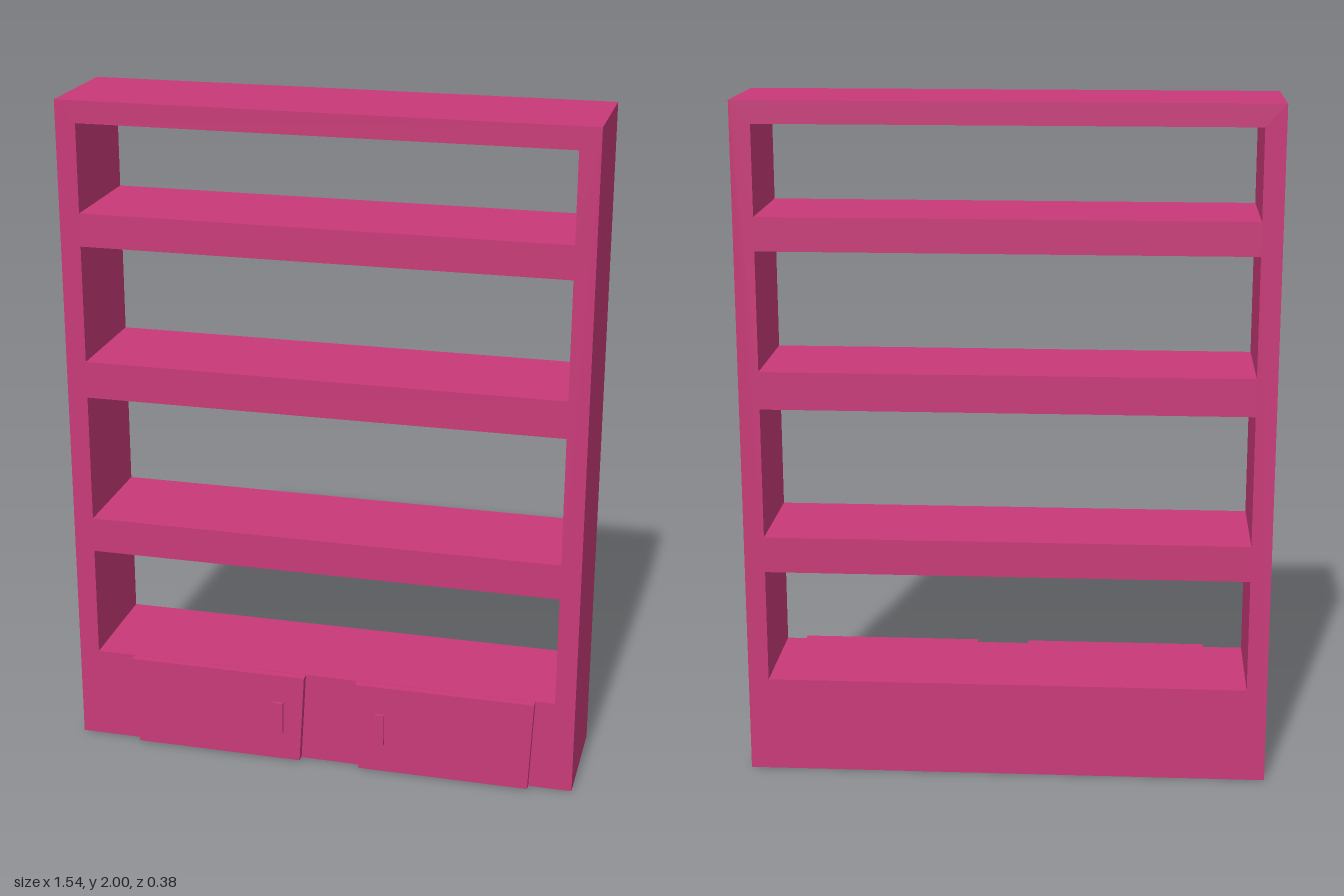
import * as THREE from 'three';

const material = new THREE.MeshStandardMaterial({ color: 0xc93a78 });

// Closed outline from a list of [x, y] corners
const outline = (points) => points.map(([x, y]) => new THREE.Vector2(x, y));
const rect = (x0, x1, y0, y1) => outline([[x0, y0], [x1, y0], [x1, y1], [x0, y1]]);

// Flat panel extruded from z0 to z1, with optional holes
function panel(name, points, z0, z1, holes = []) {
  const shape = new THREE.Shape(points);
  holes.forEach((h) => shape.holes.push(new THREE.Path(h)));
  const geometry = new THREE.ExtrudeGeometry(shape, { depth: z1 - z0, bevelEnabled: false });
  geometry.translate(0, 0, z0);
  const mesh = new THREE.Mesh(geometry, material);
  mesh.name = name;
  return mesh;
}

export function createModel() {
  const model = new THREE.Group();
  model.name = 'bookcase';

  // Case: uprights, shelves and solid base in one piece, open front to back
  const bays = [[0.285, 0.623], [0.73, 1.117], [1.228, 1.577], [1.675, 1.935]];
  const holes = bays.map(([y0, y1]) => rect(-0.71, 0.71, y0, y1));
  model.add(panel('bookcaseFrame', rect(-0.77, 0.77, 0, 2), -0.19, 0.157, holes));

  // Slightly tapered cupboard doors, each with an upright handle
  const doors = [
    { side: 'right', top: [-0.593, -0.047], bottom: [-0.577, -0.062], handle: [-0.142, -0.112] },
    { side: 'left', top: [0.11, 0.652], bottom: [0.124, 0.64], handle: [0.174, 0.202] },
  ];
  for (const { side, top, bottom, handle } of doors) {
    const corners = outline([[bottom[0], 0.003], [bottom[1], 0.003], [top[1], 0.284], [top[0], 0.284]]);
    model.add(panel(`${side}Door`, corners, 0.157, 0.182));
    model.add(panel(`${side}DoorHandle`, rect(handle[0], handle[1], 0.095, 0.195), 0.182, 0.192));
  }
  return model;
}
